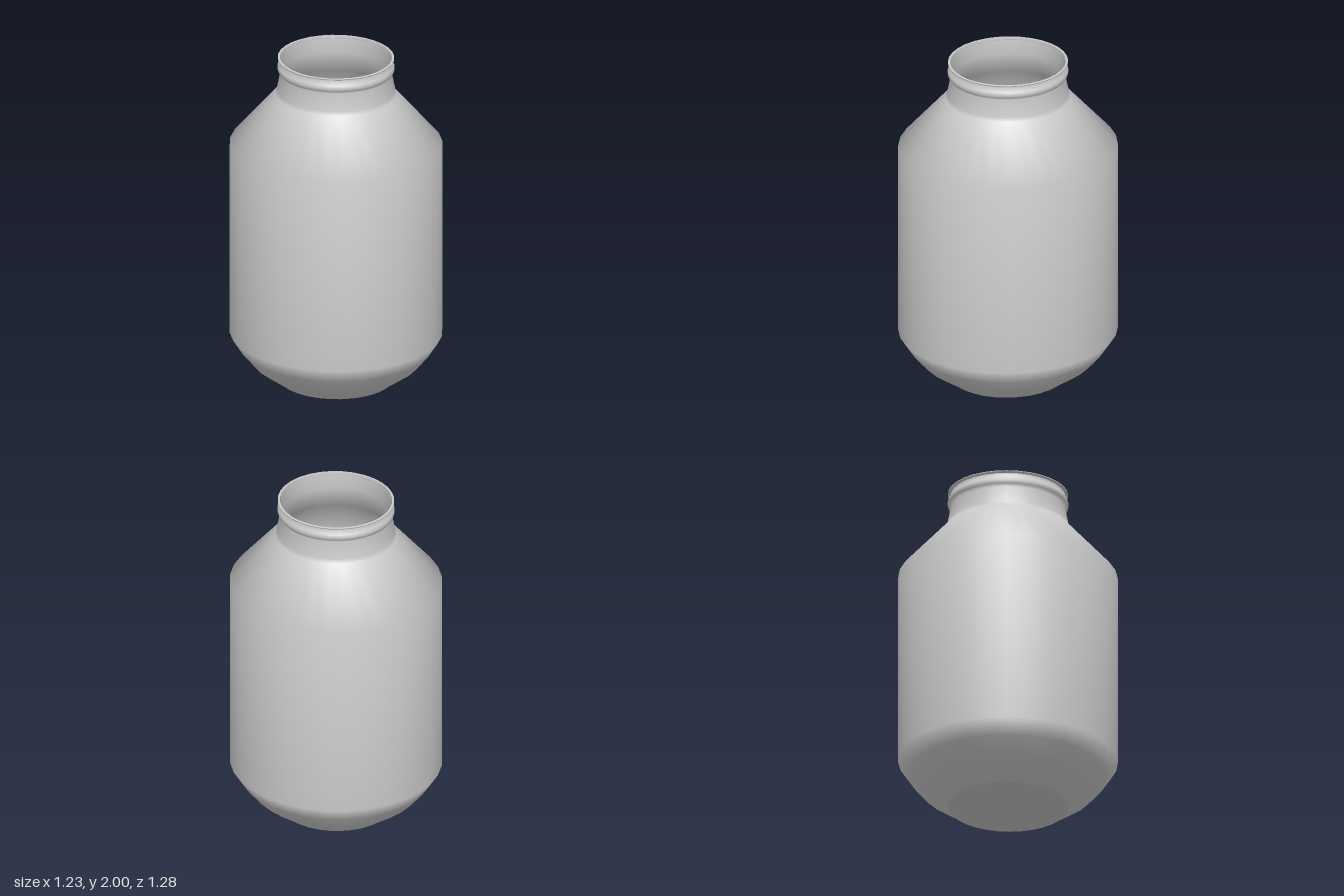
import * as THREE from 'three';

const SIDES = 32;
const DEPTH = 1.04; // the jar is slightly deeper than wide

// Spins a [radius, height] profile into a slightly oval surface.
function turned(name, profile, material) {
  const points = profile.map(([r, y]) => new THREE.Vector2(r, y));
  const geometry = new THREE.LatheGeometry(points, SIDES);
  geometry.scale(1, 1, DEPTH);
  const mesh = new THREE.Mesh(geometry, material);
  mesh.name = name;
  return mesh;
}

export function createModel() {
  const jar = new THREE.Group();
  jar.name = 'jar';
  const material = new THREE.MeshStandardMaterial({ color: 0xcccccc, side: THREE.DoubleSide });

  // Outside: floor, curved foot, straight body, sloped shoulder, neck and bead
  jar.add(turned('outerWall', [
    [0, 0], [0.335, 0], [0.345, 0.01], [0.485, 0.11], [0.56, 0.2], [0.617, 0.29],
    [0.617, 1.465], [0.35, 1.775], [0.343, 1.8], [0.323, 1.905],
    [0.336, 1.92], [0.341, 1.938], [0.336, 1.955], [0.325, 1.967], [0.323, 1.99],
  ], material));

  // Thin flared lip
  jar.add(turned('lip', [
    [0.323, 1.99], [0.338, 1.994], [0.338, 2], [0.325, 2],
  ], material));

  // Inside: smooth neck, shoulder, body and floor
  jar.add(turned('innerWall', [
    [0.325, 2], [0.315, 1.9], [0.338, 1.775], [0.605, 1.46], [0.605, 0.295],
    [0.55, 0.21], [0.478, 0.12], [0.335, 0.015], [0, 0.015],
  ], material));

  return jar;
}
